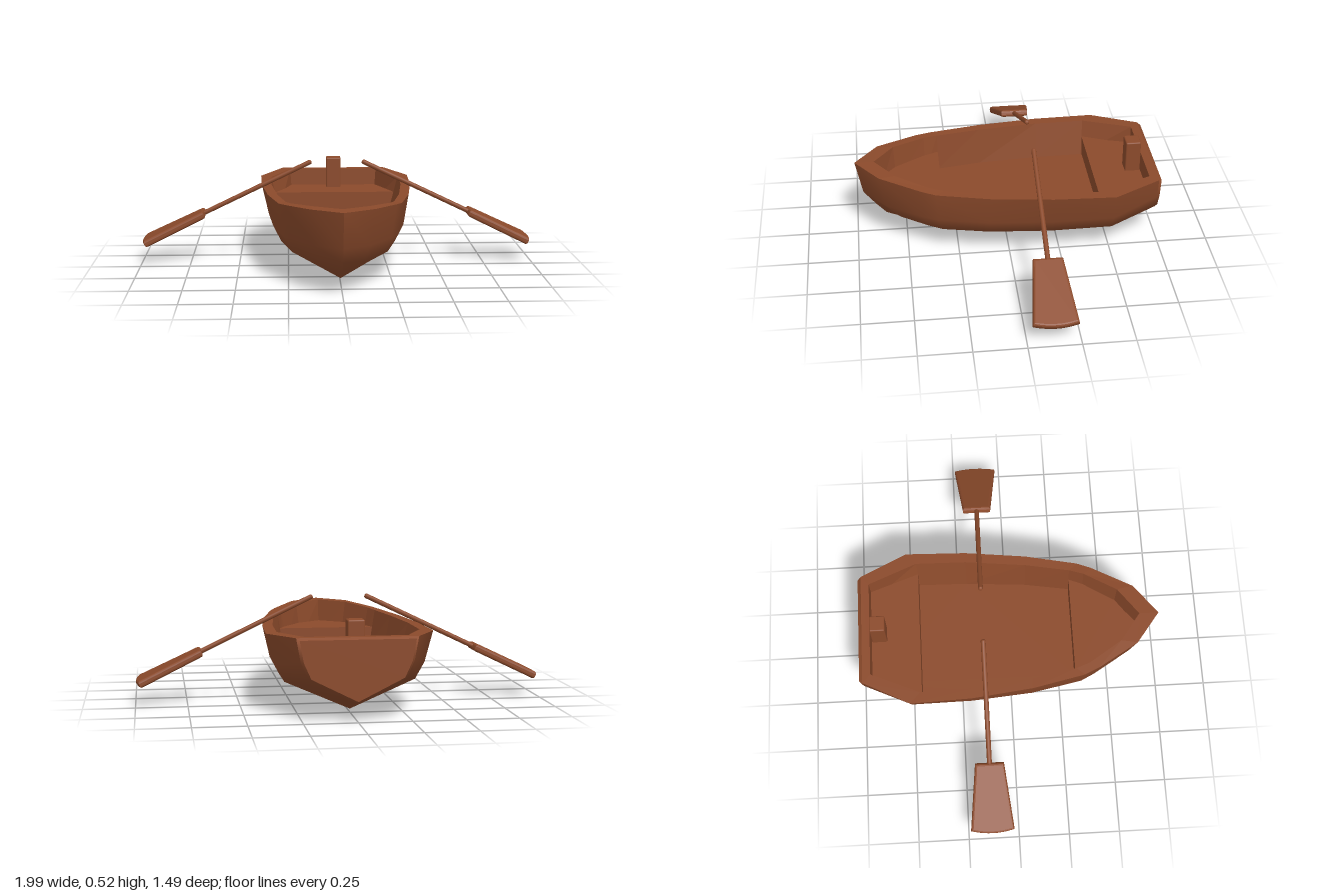
import * as THREE from 'three';
import { RoundedBoxGeometry } from 'three/addons/geometries/RoundedBoxGeometry.js';

const wood = new THREE.MeshStandardMaterial({ color: 0x8b4a2b });
wood.name = 'brown wood';

// Half sections from stern to bow: gunwale, side, chine, keel as [x, y, z]
const stations = [
  [[0.28, 0.39, -0.73], [0.26, 0.28, -0.73], [0.225, 0.2, -0.73], [0, 0.085, -0.73]],
  [[0.395, 0.383, -0.5], [0.355, 0.235, -0.5], [0.31, 0.155, -0.5], [0, 0.018, -0.49]],
  [[0.385, 0.384, -0.2], [0.35, 0.23, -0.2], [0.308, 0.15, -0.2], [0, 0.004, -0.2]],
  [[0.35, 0.385, 0.1], [0.325, 0.23, 0.1], [0.285, 0.15, 0.1], [0, 0.002, 0.1]],
  [[0.295, 0.389, 0.36], [0.275, 0.23, 0.35], [0.23, 0.145, 0.33], [0, 0.012, 0.3]],
  [[0.265, 0.395, 0.43], [0.24, 0.23, 0.42], [0.19, 0.145, 0.4], [0, 0.024, 0.37]],
  [[0.15, 0.411, 0.63], [0.13, 0.235, 0.6], [0.1, 0.145, 0.53], [0, 0.05, 0.45]],
  [[0, 0.415, 0.745], [0, 0.24, 0.71], [0, 0.165, 0.65], [0, 0.11, 0.6]],
];
// Inside edge of the rim, and the foot of the inner wall, as [x, z]
const rimInner = [[0.238, -0.69], [0.34, -0.45], [0.335, -0.2], [0.302, 0.1],
  [0.26, 0.32], [0.235, 0.39], [0.135, 0.55], [0, 0.65]];
const floorEdge = [[0.225, -0.685], [0.295, -0.44], [0.29, -0.2], [0.268, 0.1],
  [0.232, 0.32], [0.2, 0.39], [0.11, 0.54], [0, 0.635]];
const FLOOR = 0.205, SEAT = 0.3;

// Adds the mirrored half; the last point lies on the centre line
const mirror = (half) => [...half, ...half.slice(0, -1).reverse().map(([x, ...r]) => [-x, ...r])];

// Skins equal rows of points
function loft(rows, { closed = false, flat = false } = {}) {
  const n = rows[0].length, index = [];
  for (let i = 0; i < rows.length - 1; i++) {
    for (let j = 0; j < (closed ? n : n - 1); j++) {
      const k = (j + 1) % n;
      const a = i * n + j, b = i * n + k, c = a + n, d = b + n;
      index.push(a, c, b, b, c, d);
    }
  }
  let g = new THREE.BufferGeometry();
  g.setAttribute('position', new THREE.Float32BufferAttribute(rows.flat(2), 3));
  g.setIndex(index);
  if (flat) g = g.toNonIndexed();
  g.computeVertexNormals();
  return g;
}

const outline = (pts) => new THREE.Shape(pts.map(([x, y]) => new THREE.Vector2(x, y)));

function add(parent, name, geometry) {
  const mesh = new THREE.Mesh(geometry, wood);
  mesh.name = name;
  parent.add(mesh);
  return mesh;
}

// Solid bench from a plan outline of [x, z]
function bench(plan) {
  const g = new THREE.ExtrudeGeometry(outline(plan.map(([x, z]) => [x, -z])),
    { depth: SEAT - FLOOR + 0.01, bevelEnabled: false });
  return g.rotateX(-Math.PI / 2).translate(0, FLOOR - 0.01, 0);
}

// One oar, its length along +x from the grip
function oar() {
  const g = new THREE.Group();
  const shaft = add(g, 'oarShaft', new THREE.CylinderGeometry(0.012, 0.012, 0.66, 12));
  shaft.rotation.z = Math.PI / 2;
  shaft.position.x = 0.33;
  const grip = add(g, 'oarGrip', new THREE.SphereGeometry(0.012, 12, 8));
  grip.scale.x = 0.7;

  const s = new THREE.Shape();
  s.moveTo(0.612, -0.06);
  s.lineTo(0.925, -0.094);
  s.quadraticCurveTo(0.95, 0, 0.925, 0.094);
  s.lineTo(0.612, 0.06);
  s.closePath();
  const blade = new THREE.ExtrudeGeometry(s, { depth: 0.012, curveSegments: 8,
    bevelThickness: 0.012, bevelSize: 0.012, bevelSegments: 3 });
  add(g, 'oarBlade', blade.translate(0, 0, -0.006).rotateX(-Math.PI / 2));
  return g;
}

export function createModel() {
  const boat = new THREE.Group();
  boat.name = 'rowingBoat';

  // Outer hull
  const sections = stations.map(mirror);
  add(boat, 'hull', loft(sections));

  // Transom with a softened edge
  const inset = sections[0].map(([x, y]) => [x * 0.95, 0.25 + (y - 0.25) * 0.93, -0.746]);
  add(boat, 'transomEdge', loft([inset, sections[0]], { closed: true }));
  const transom = add(boat, 'transom', new THREE.ShapeGeometry(outline(inset)));
  transom.rotation.y = Math.PI;
  transom.position.z = -0.746;

  // Rim and inner walls
  const outer = mirror(stations.map((s) => s[0]));
  const inner = mirror(rimInner.map(([x, z], i) => [x, stations[i][0][1], z]));
  const foot = mirror(floorEdge.map(([x, z]) => [x, FLOOR, z]));
  add(boat, 'rim', loft([outer, inner], { closed: true, flat: true }));
  add(boat, 'innerWall', loft([inner, foot], { closed: true, flat: true }));

  // Floor
  const floor = add(boat, 'floor', new THREE.ShapeGeometry(outline(foot.map(([x, , z]) => [x, -z]))));
  floor.rotation.x = -Math.PI / 2;
  floor.position.y = FLOOR;

  // Stern and bow benches, fitted to the wall at seat height
  const wall = floorEdge.map(([x, z], i) => [(x + rimInner[i][0]) / 2, (z + rimInner[i][1]) / 2]);
  const stern = wall.slice(0, 2);
  add(boat, 'sternBench', bench([...stern, ...stern.map(([x, z]) => [-x, z]).reverse()]));
  add(boat, 'bowBench', bench(mirror(wall.slice(4))));

  // Stern post
  add(boat, 'sternPost', new RoundedBoxGeometry(0.08, 0.18, 0.076, 2, 0.007)).position.set(0, 0.372, -0.648);

  // Oars resting over both sides
  for (const side of [1, -1]) {
    const o = oar();
    o.name = side > 0 ? 'leftOar' : 'rightOar';
    o.position.set(side * 0.137, 0.513, -0.13);
    o.rotation.set(0, side > 0 ? 0 : Math.PI, -0.447);
    if (side < 0) o.rotation.set(0, Math.PI, -0.447, 'YXZ');
    boat.add(o);
  }
  return boat;
}
